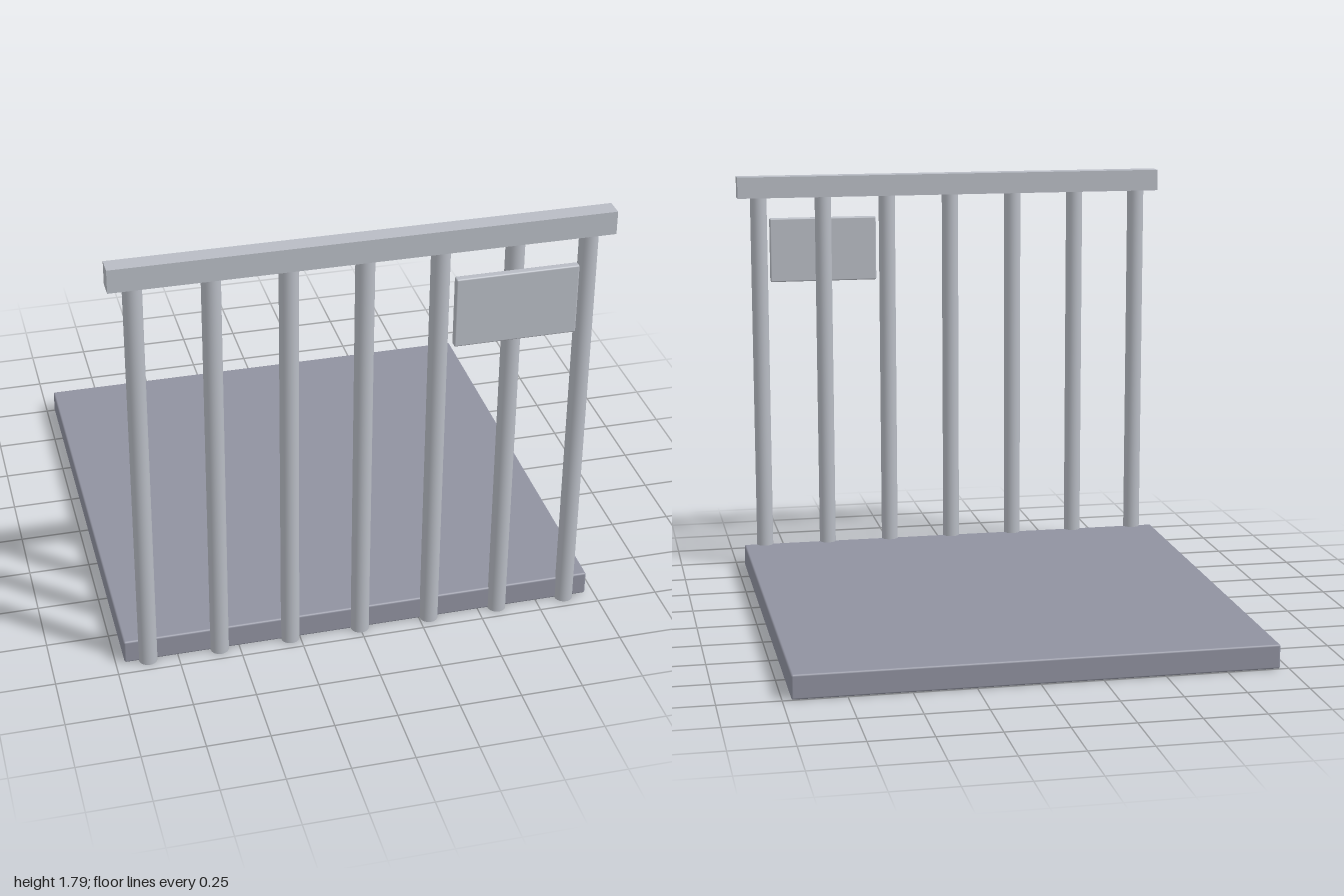
import * as THREE from 'three';
import { mergeVertices } from 'three/addons/utils/BufferGeometryUtils.js';
import { RoundedBoxGeometry } from 'three/addons/geometries/RoundedBoxGeometry.js';

export function createModel() {
  const group = new THREE.Group();
  const material = (name, color) => {
    const m = new THREE.MeshStandardMaterial({ color });
    m.name = name;
    return m;
  };
  const floorGrey = material('floorGrey', 0x9092a0);
  const steel = material('steel', 0xb8bcc4);

  const add = (name, geometry, mat, x, y, z) => {
    const mesh = new THREE.Mesh(geometry, mat);
    mesh.name = name;
    mesh.position.set(x, y, z);
    group.add(mesh);
    return mesh;
  };

  // Floor slab with slightly softened edges
  add('floorSlab', new RoundedBoxGeometry(1.93, 0.1, 1.935, 2, 0.008), floorGrey, 0, 0.05, -0.0325);

  // Top rail, sharp edged
  add('topRail', new THREE.BoxGeometry(1.93, 0.094, 0.074), steel, 0, 1.743, 0.934);

  // Upright bars: ends and sides share smoothed normals
  const height = 1.7;
  let barGeometry = new THREE.CylinderGeometry(0.037, 0.037, height, 24);
  barGeometry.deleteAttribute('uv');
  barGeometry.deleteAttribute('normal');
  barGeometry = mergeVertices(barGeometry);
  barGeometry.computeVertexNormals();
  for (let i = 0; i < 7; i++) {
    add('bar' + (i + 1), barGeometry, steel, (i - 3) * 0.29, height / 2, 0.934);
  }

  // Blank plate fixed to the front of the bars
  add('signPlate', new RoundedBoxGeometry(0.482, 0.288, 0.032, 2, 0.006), steel, 0.576, 1.452, 0.984);

  return group;
}
